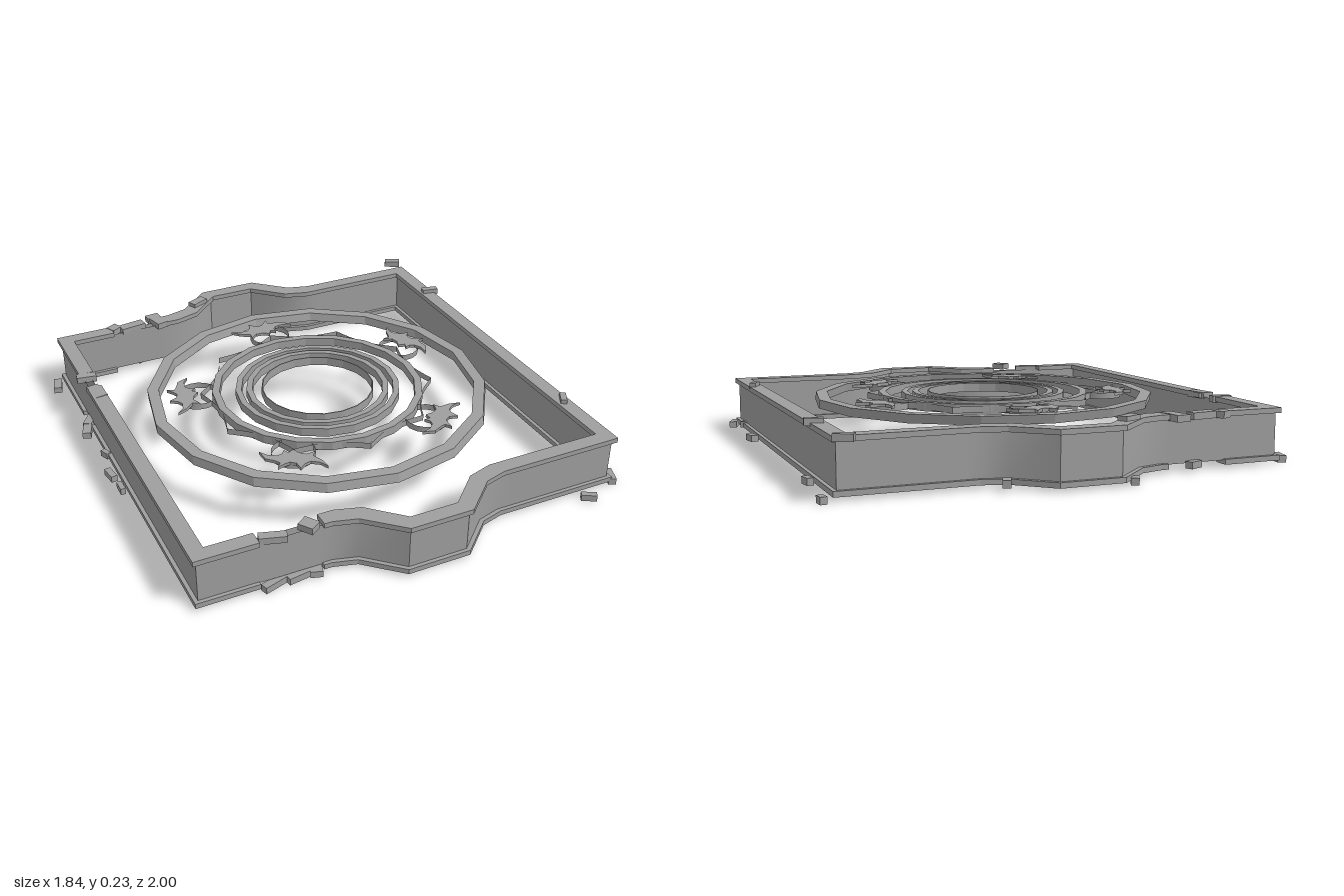
import * as THREE from 'three';
import { toCreasedNormals } from 'three/addons/utils/BufferGeometryUtils.js';

const stone = new THREE.MeshStandardMaterial({ color: 0x9e9e9e, side: THREE.DoubleSide });

function add(parent, name, geometry) {
  const mesh = new THREE.Mesh(geometry, stone);
  mesh.name = name;
  parent.add(mesh);
  return mesh;
}

// Flat plate in plan: points are [x, z], the top face lies at the given height
function plate(points, top, thickness) {
  const shape = new THREE.Shape(points.map(([x, z]) => new THREE.Vector2(x, z)));
  return new THREE.ExtrudeGeometry(shape, { depth: thickness, bevelEnabled: false })
    .rotateX(Math.PI / 2).translate(0, top, 0);
}

// Upright thin wall along a closed plan loop, given anticlockwise seen from above
function wall(points, y0, y1) {
  const position = [];
  points.forEach(([ax, az], i) => {
    const [bx, bz] = points[(i + 1) % points.length];
    position.push(ax, y0, az, bx, y0, bz, bx, y1, bz, ax, y0, az, bx, y1, bz, ax, y1, az);
  });
  const g = new THREE.BufferGeometry();
  g.setAttribute('position', new THREE.Float32BufferAttribute(position, 3));
  g.computeVertexNormals();
  return toCreasedNormals(g, 0.5);
}

// Faceted ring with a rectangular section, its foot leaning slightly forward
function ring(inner, outer, y0, y1, sides, lean = 0) {
  const section = [[outer, y0], [outer, y1], [inner, y1], [inner, y0], [outer, y0]];
  const g = new THREE.LatheGeometry(section.map(([x, y]) => new THREE.Vector2(x, y)), sides);
  const p = g.attributes.position;
  for (let i = 0; i < p.count; i++) {
    p.setZ(i, p.getZ(i) + (lean * (y1 - p.getY(i))) / (y1 - y0));
  }
  return toCreasedNormals(g, 0.15);
}

// Frame stations as [outerX, outerZ, innerX, innerZ]: front half, corner to bulge
const quarter = [
  [0.86, 0.85, 0.80, 0.79], [0.40, 0.85, 0.40, 0.79], [0.35, 0.85, 0.32, 0.79],
  [0.26, 0.875, 0.22, 0.82], [0.125, 1, 0.095, 0.94],
];
const flipX = ([a, b, c, d]) => [-a, b, -c, d];
const flipZ = ([a, b, c, d]) => [a, -b, c, -d];
const across = (s, t) => [s[0] + (s[2] - s[0]) * t, s[1] + (s[3] - s[1]) * t];

function buildFrame() {
  const frame = new THREE.Group();
  frame.name = 'frame';
  frame.position.x = 0.005;
  const mirrored = quarter.map(flipX).reverse();
  const front = [...mirrored].reverse().concat([...quarter].reverse());
  const loop = [...front, ...front.map(flipZ).reverse()];
  add(frame, 'outerWall', wall(loop.map((s) => across(s, 0.25)), 0.03, 0.2));
  // The inner wall faces the middle, so its loop runs the other way
  add(frame, 'innerWall', wall(loop.map((s) => across(s, 0.75)).reverse(), 0.03, 0.2));

  // Trim is broken at the front, back and left side
  const corner = flipX(quarter[0]);
  const bulge = [[-0.38, 0.85, -0.38, 0.79], ...mirrored.slice(0, 3).reverse(), ...[...quarter].reverse()];
  const runs = [
    [...bulge, ...bulge.map(flipZ).reverse()],
    [[-0.62, -0.85, -0.62, -0.79], flipZ(corner), [-0.86, -0.5, -0.8, -0.5]],
    [[-0.86, -0.38, -0.8, -0.38], corner, [-0.62, 0.85, -0.62, 0.79]],
  ];
  for (const run of runs) {
    const outline = [...run.map((s) => across(s, 0)), ...run.map((s) => across(s, 1)).reverse()];
    add(frame, 'topTrim', plate(outline, 0.215, 0.02));
    add(frame, 'bottomTrim', plate(outline, 0.035, 0.02));
  }
  return frame;
}

function buildRubble() {
  const rubble = new THREE.Group();
  rubble.name = 'rubble';
  // [x, z, width, depth, turn, height of centre]
  const high = 0.219, flush = 0.204, mid = 0.027, low = 0.014;
  const pieces = [
    [-0.89, -0.79, 0.035, 0.08, -0.25, low], [-0.60, -0.84, 0.05, 0.045, 0.5, flush],
    [-0.52, -0.83, 0.11, 0.045, 0.15, flush], [-0.40, -0.83, 0.05, 0.09, 0.25, flush],
    [-0.41, -0.87, 0.06, 0.035, 0.1, flush], [-0.48, -0.85, 0.06, 0.03, 0.4, mid],
    [-0.18, -0.90, 0.08, 0.04, 0.45, high], [-0.17, -0.97, 0.03, 0.05, -0.5, low],
    [0.28, -0.90, 0.03, 0.05, -0.4, mid], [0.84, -0.90, 0.07, 0.035, -0.5, high],
    [0.905, -0.86, 0.025, 0.04, 0.1, low], [0.89, -0.61, 0.025, 0.05, 0.15, mid],
    [0.85, -0.55, 0.07, 0.03, -0.2, high], [0.895, 0.33, 0.03, 0.06, 0.2, mid],
    [0.84, 0.53, 0.025, 0.06, -0.5, high], [0.845, 0.69, 0.055, 0.03, -0.6, mid],
    [0.88, 0.82, 0.03, 0.075, -0.35, low], [0.725, 0.895, 0.06, 0.025, -0.5, low],
    [-0.885, -0.01, 0.025, 0.065, 0.15, mid], [-0.875, 0.09, 0.02, 0.055, 0, mid],
    [-0.83, -0.48, 0.08, 0.035, -0.15, flush], [-0.845, -0.43, 0.035, 0.09, -0.6, mid],
    [-0.88, -0.355, 0.035, 0.07, -0.35, mid], [-0.825, -0.34, 0.05, 0.10, 0.15, flush],
    [-0.86, -0.16, 0.02, 0.04, 0.4, mid], [-0.56, 0.84, 0.10, 0.03, 0.3, low],
    [-0.56, 0.83, 0.10, 0.035, -0.3, flush], [-0.47, 0.835, 0.09, 0.04, 0.15, low],
    [-0.43, 0.84, 0.05, 0.06, 0.6, high], [-0.40, 0.83, 0.045, 0.07, -0.3, low],
  ];
  for (const [x, z, w, d, turn, y] of pieces) {
    const chip = add(rubble, 'chip', new THREE.BoxGeometry(w, 0.026, d));
    chip.position.set(x, y, z);
    chip.rotation.y = turn;
  }
  return rubble;
}

function buildEmblem() {
  const emblem = new THREE.Group();
  emblem.name = 'ringEmblem';
  emblem.position.z = 0.003;
  add(emblem, 'outerRing', ring(0.645, 0.691, 0.18, 0.215, 16, 0.01));
  const rings = new THREE.Group();
  rings.name = 'innerRings';
  rings.position.z = 0.004;
  emblem.add(rings);
  add(rings, 'largeRing', ring(0.4, 0.43, 0.185, 0.22, 20));
  add(rings, 'middleRing', ring(0.311, 0.335, 0.185, 0.22, 20));
  add(rings, 'smallRing', ring(0.267, 0.291, 0.185, 0.22, 20));
  add(rings, 'innerBand', ring(0.225, 0.229, 0.185, 0.222, 20));

  // Plan loop about the centre, with the radius set by a rule
  const around = (n, radius, cz = 0) => Array.from({ length: n }, (_, i) => {
    const a = (i / n) * Math.PI * 2;
    return [radius(i) * Math.sin(a), cz + radius(i) * Math.cos(a)];
  });

  // Scalloped band: points outwards, hollow arcs between
  const scallop = around(80, (i) => 0.425 + 0.05 * (((i % 8) - 4) / 4) ** 2);
  add(emblem, 'scallopedBand', wall(scallop, 0.19, 0.215));

  // Five flames, each with a round band beside it
  const flame = [
    [-0.148, -0.568], [-0.115, -0.55], [-0.08, -0.55], [-0.062, -0.568], [-0.052, -0.6],
    [-0.03, -0.572], [-0.005, -0.57], [0.012, -0.585], [0.032, -0.61], [0.03, -0.58],
    [0.05, -0.572], [0.09, -0.565], [0.122, -0.525], [0.085, -0.54], [0.05, -0.535],
    [0.035, -0.52], [0.035, -0.495], [0.015, -0.51], [0, -0.485], [-0.025, -0.502],
    [-0.055, -0.505], [-0.085, -0.48], [-0.08, -0.51], [-0.12, -0.535],
  ];
  const roundBand = wall(around(16, () => 0.085, -0.485), 0.19, 0.215);
  for (let i = 0; i < 5; i++) {
    const unit = new THREE.Group();
    unit.name = 'flameUnit';
    unit.rotation.y = (-i * Math.PI * 2) / 5;
    add(unit, 'flame', plate(flame, 0.22, 0.012));
    add(unit, 'roundBand', roundBand);
    emblem.add(unit);
  }
  return emblem;
}

export function createModel() {
  const model = new THREE.Group();
  model.name = 'ornateFrame';
  model.add(buildFrame(), buildRubble(), buildEmblem());
  return model;
}
